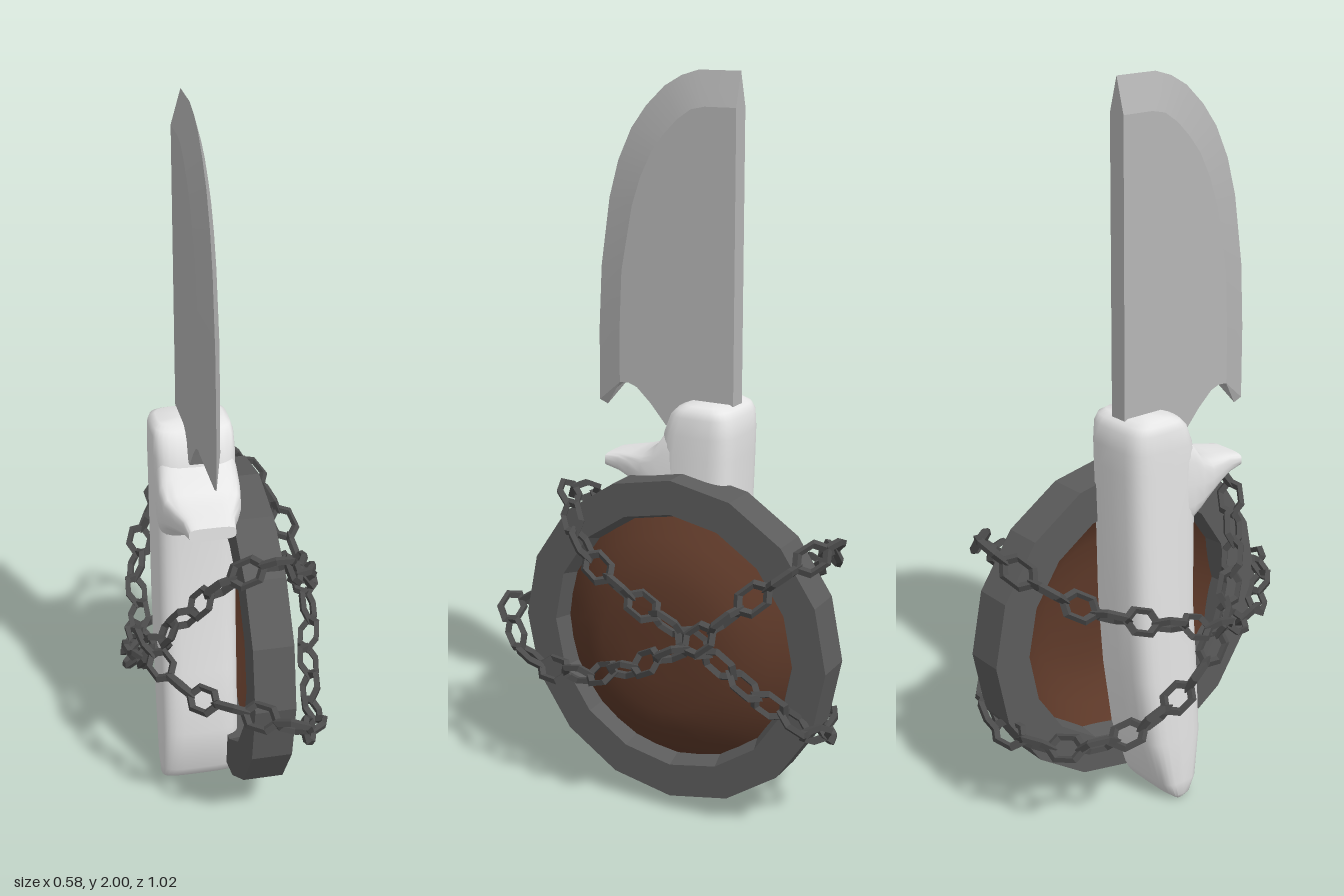
import * as THREE from 'three';
import { toCreasedNormals } from 'three/addons/utils/BufferGeometryUtils.js';

const material = (name, color, extra = {}) => {
  const m = new THREE.MeshStandardMaterial({ color, ...extra });
  m.name = name;
  return m;
};

const named = (name, geometry, mat) => {
  const mesh = new THREE.Mesh(geometry, mat);
  mesh.name = name;
  return mesh;
};

// Skin a list of equal-sized rings of [x, y, z] points and cap both ends
function loft(rings) {
  const n = rings[0].length, pos = rings.flat(2), index = [];
  for (let i = 0; i < rings.length - 1; i++) {
    for (let j = 0; j < n; j++) {
      const a = i * n + j, b = i * n + (j + 1) % n;
      index.push(a, a + n, b, b, a + n, b + n);
    }
  }
  [0, rings.length - 1].forEach((r, end) => {
    const centre = pos.length / 3;
    for (let k = 0; k < 3; k++) pos.push(rings[r].reduce((s, p) => s + p[k], 0) / n);
    for (let j = 0; j < n; j++) {
      const a = r * n + j, b = r * n + (j + 1) % n;
      index.push(centre, end ? b : a, end ? a : b);
    }
  });
  const g = new THREE.BufferGeometry();
  g.setAttribute('position', new THREE.Float32BufferAttribute(pos, 3));
  g.setIndex(index);
  return toCreasedNormals(g, 0.9);
}

// Points of a rounded rectangle (superellipse) around the origin
function roundedRing(halfW, halfH, power = 0.5, n = 28) {
  const bend = v => Math.sign(v) * Math.abs(v) ** power;
  return Array.from({ length: n }, (_, i) => {
    const t = i / n * Math.PI * 2;
    return [halfW * bend(Math.cos(t)), halfH * bend(Math.sin(t))];
  });
}

const GRIP_X = -0.088;

// Upright grip: [y, back z, front z, half width]
function gripGeometry() {
  return loft([
    [0.005, -0.03, 0.0, 0.1], [0.02, -0.05, 0.025, 0.11], [0.06, -0.075, 0.05, 0.112],
    [0.2, -0.12, 0.07, 0.112], [0.4, -0.15, 0.06, 0.112], [0.6, -0.165, 0.045, 0.112],
    [0.85, -0.17, 0.045, 0.112], [1.0, -0.175, 0.045, 0.112], [1.06, -0.176, 0.035, 0.112],
    [1.11, -0.172, 0.015, 0.11], [1.13, -0.16, -0.005, 0.104], [1.14, -0.14, -0.03, 0.09],
  ].map(([y, back, front, w]) => roundedRing(w, (front - back) / 2)
    .map(([a, b]) => [GRIP_X + a, y, (front + back) / 2 + b])));
}

// Finger guard flaring forward: [z, low y, high y, half width]
function guardGeometry() {
  return loft([
    [-0.04, 0.80, 1.10, 0.108], [0.02, 0.82, 1.07, 0.111], [0.05, 0.85, 1.025, 0.111],
    [0.09, 0.885, 0.995, 0.104], [0.14, 0.905, 0.982, 0.084], [0.18, 0.918, 0.975, 0.069],
    [0.225, 0.928, 0.965, 0.062],
  ].map(([z, low, high, w]) => roundedRing(w, (high - low) / 2)
    .map(([a, b]) => [GRIP_X + a, (low + high) / 2 - b, z])));
}

// Blade: [z, y] pairs of the sharp edge and of the ridge where the bevel starts
const EDGE = [[-0.15, 2], [-0.03, 2], [0.02, 1.985], [0.07, 1.957], [0.125, 1.905], [0.17, 1.845],
  [0.21, 1.76], [0.238, 1.66], [0.265, 1.475], [0.274, 1.3], [0.275, 1.1], [0.25, 1.09], [0.22, 1.14]];
const RIDGE = [[-0.15, 1.91], [-0.06, 1.91], [-0.02, 1.902], [0.02, 1.875], [0.06, 1.835], [0.095, 1.79],
  [0.128, 1.725], [0.155, 1.645], [0.188, 1.47], [0.196, 1.3], [0.196, 1.163], [0.196, 1.163], [0.196, 1.163]];
const NOTCH = [[0.17, 1.165], [0.143, 1.155], [0.1, 1.115], [0.053, 1.06], [-0.15, 1.06]];
const BLADE_HALF = 0.026;

function bladeBody() {
  const outline = [...RIDGE.slice(0, 11), ...NOTCH].map(([z, y]) => new THREE.Vector2(-z, y));
  const g = new THREE.ExtrudeGeometry(new THREE.Shape(outline), { depth: BLADE_HALF * 2, bevelEnabled: false });
  return g.translate(0, 0, -BLADE_HALF).rotateY(Math.PI / 2).translate(GRIP_X, 0, 0);
}

function bladeBevel(side) {
  const pos = [], index = [];
  EDGE.forEach(([z, y], i) => {
    pos.push(GRIP_X, y, z, GRIP_X + side * BLADE_HALF, RIDGE[i][1], RIDGE[i][0]);
    if (!i) return;
    const a = 2 * i - 2;
    index.push(...(side > 0 ? [a, a + 2, a + 1, a + 1, a + 2, a + 3] : [a, a + 1, a + 2, a + 1, a + 3, a + 2]));
  });
  // close the bevel towards the notch and along the spine
  const last = EDGE.length * 2 - 2;
  pos.push(GRIP_X, 1.163, 0.196, GRIP_X, 1.91, -0.15);
  index.push(last, last + 2, last + 1, 0, 1, last + 3);
  const g = new THREE.BufferGeometry();
  g.setAttribute('position', new THREE.Float32BufferAttribute(pos, 3));
  g.setIndex(index);
  return toCreasedNormals(g, 0.3);
}

// Lathe turned so that its axis runs along x
function discGeometry(profile, segments) {
  return new THREE.LatheGeometry(profile.map(([r, h]) => new THREE.Vector2(r, h)), segments)
    .rotateZ(-Math.PI / 2).translate(0, 0.503, -0.045);
}

// Chain of angular links, alternately turned a quarter, along a closed path
function chain(name, points, count, mat) {
  const group = new THREE.Group();
  group.name = name;
  const path = new THREE.CatmullRomCurve3(points.map(p => new THREE.Vector3(...p)), true);
  const link = new THREE.TorusGeometry(0.036, 0.011, 4, 6).scale(1.35, 0.95, 1);
  const axis = new THREE.Vector3();
  for (let i = 0; i < count; i++) {
    const at = path.getPointAt(i / count), along = path.getTangentAt(i / count);
    const outward = axis.set(at.x, 0, at.z).normalize().clone();
    const up = new THREE.Vector3().crossVectors(outward, along).normalize();
    outward.crossVectors(along, up);
    const mesh = named('chainLink', link, mat);
    mesh.position.copy(at);
    mesh.quaternion.setFromRotationMatrix(new THREE.Matrix4().makeBasis(along, up, outward));
    mesh.rotateX(Math.PI / 4 + (i % 2) * Math.PI / 2);
    group.add(mesh);
  }
  return group;
}

export function createModel() {
  const ivory = material('ivory grip', 0xe6e6e6);
  const steel = material('blade steel', 0xb6b6b6, { side: THREE.DoubleSide });
  const iron = material('rim iron', 0x5c5c5c, { flatShading: true });
  const chainIron = material('chain iron', 0x4c4c4c, { flatShading: true });
  const wood = material('brown wood', 0x5c3828, { side: THREE.DoubleSide });

  const model = new THREE.Group();
  model.name = 'chainedKnifeAndShield';

  // Knife
  const knife = new THREE.Group();
  knife.name = 'knife';
  knife.add(named('grip', gripGeometry(), ivory), named('guard', guardGeometry(), ivory),
    named('blade', bladeBody(), steel),
    named('bladeBevelLeft', bladeBevel(1), steel), named('bladeBevelRight', bladeBevel(-1), steel));

  // Round shield
  const shield = new THREE.Group();
  shield.name = 'shield';
  shield.add(
    named('shieldRim', discGeometry([[0.35, -0.015], [0.456, -0.015], [0.456, 0.095],
      [0.362, 0.095], [0.345, 0.05], [0.35, -0.015]], 16), iron),
    named('shieldDome', discGeometry([[0.352, 0.04], [0.295, 0.095], [0.24, 0.125],
      [0.18, 0.148], [0.09, 0.153], [0.001, 0.154]], 32), wood));

  // Two crossing chains wrapped round both
  model.add(knife, shield,
    chain('fallingChain', [[0.07, 0.87, 0.28], [0.17, 0.75, 0.17], [0.22, 0.65, -0.03], [0.225, 0.585, -0.175],
      [0.18, 0.44, -0.36], [0.07, 0.32, -0.47], [-0.07, 0.29, -0.44], [-0.2, 0.3, -0.35], [-0.25, 0.33, -0.2],
      [-0.25, 0.43, 0], [-0.2, 0.6, 0.14], [-0.1, 0.77, 0.24], [-0.02, 0.85, 0.28]], 28, chainIron),
    chain('risingChain', [[0.07, 0.5, 0.48], [0.15, 0.41, 0.38], [0.18, 0.39, 0.25], [0.21, 0.43, 0.09],
      [0.245, 0.5, -0.05], [0.25, 0.575, -0.18], [0.18, 0.735, -0.36], [0.06, 0.83, -0.48], [-0.1, 0.75, -0.42],
      [-0.19, 0.67, -0.3], [-0.24, 0.6, -0.12], [-0.24, 0.53, 0.08], [-0.16, 0.49, 0.27], [-0.05, 0.51, 0.4]],
    28, chainIron));
  return model;
}
